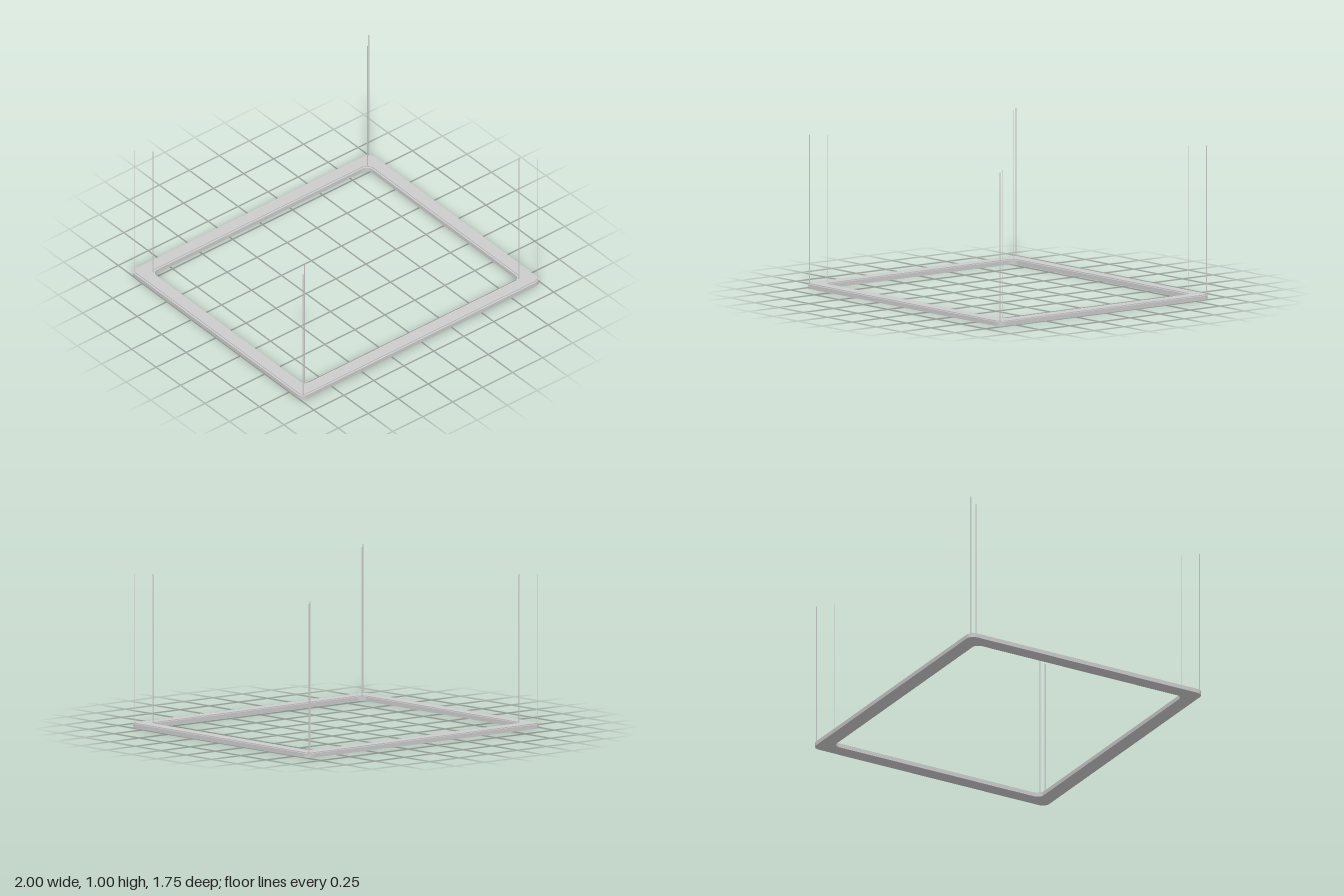
import * as THREE from 'three';

const material = new THREE.MeshStandardMaterial({ color: 0xcccccc });

// Rounded rectangle centred on the origin
function roundedRect(path, hx, hy, r) {
  path.moveTo(-hx + r, -hy);
  path.lineTo(hx - r, -hy);
  path.absarc(hx - r, -hy + r, r, -Math.PI / 2, 0, false);
  path.lineTo(hx, hy - r);
  path.absarc(hx - r, hy - r, r, 0, Math.PI / 2, false);
  path.lineTo(-hx + r, hy);
  path.absarc(-hx + r, hy - r, r, Math.PI / 2, Math.PI, false);
  path.lineTo(-hx, -hy + r);
  path.absarc(-hx + r, -hy + r, r, Math.PI, Math.PI * 1.5, false);
  return path;
}

// Flat ring with rounded corners, its sides moved in by inset
function ring(name, inset, y, height) {
  const shape = roundedRect(new THREE.Shape(), 1 - inset, 0.877 - inset, 0.05 - inset);
  shape.holes.push(roundedRect(new THREE.Path(), 0.9 + inset, 0.777 + inset, 0.045 + inset));
  const geometry = new THREE.ExtrudeGeometry(shape, { depth: height, bevelEnabled: false, curveSegments: 8 });
  geometry.rotateX(-Math.PI / 2);
  geometry.translate(0, y, 0);
  const mesh = new THREE.Mesh(geometry, material);
  mesh.name = name;
  return mesh;
}

function cylinder(name, radius, x, z, y0, y1) {
  const mesh = new THREE.Mesh(new THREE.CylinderGeometry(radius, radius, y1 - y0, 12), material);
  mesh.name = name;
  mesh.position.set(x, (y0 + y1) / 2, z);
  return mesh;
}

export function createModel() {
  const model = new THREE.Group();
  model.name = 'hangingFrame';

  // Frame with a slightly raised, narrower top
  model.add(ring('frameBase', 0, 0, 0.028));
  model.add(ring('frameTop', 0.012, 0.028, 0.006));

  // A pair of suspension wires at each corner, each in a small ferrule
  for (const sx of [-1, 1]) {
    for (const sz of [-1, 1]) {
      const corner = new THREE.Group();
      corner.name = 'cornerWires';
      for (const [label, x, z] of [['outer', 0.977, 0.859], ['inner', 0.895, 0.774]]) {
        corner.add(cylinder(label + 'Wire', 0.0028, sx * x, sz * z, 0.015, 1.005));
        corner.add(cylinder(label + 'Ferrule', 0.006, sx * x, sz * z, 0.015, 0.037));
      }
      model.add(corner);
    }
  }
  return model;
}
